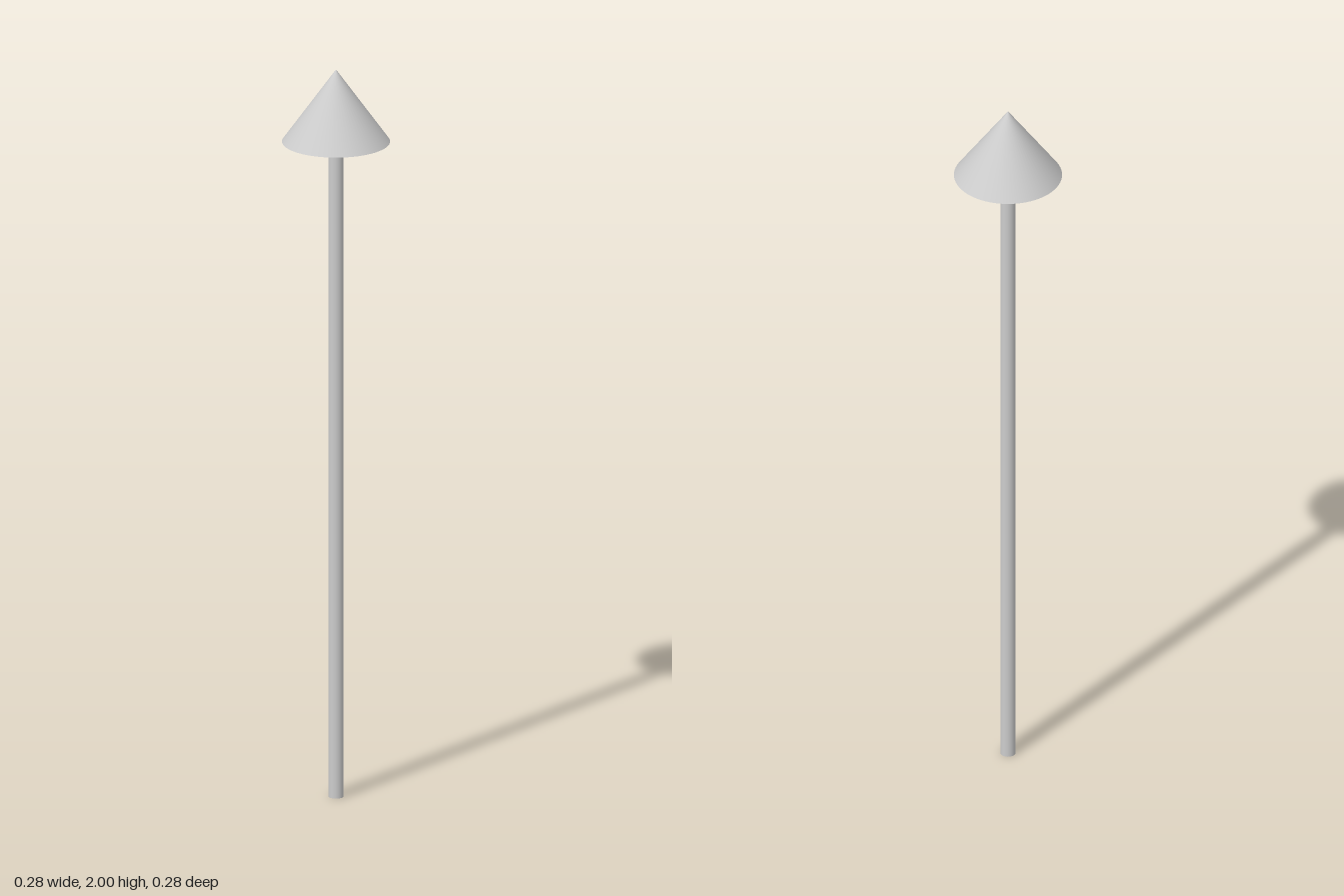
import * as THREE from 'three';

const SHAFT_RADIUS = 0.02;
const HEAD_RADIUS = 0.142;
const HEAD_BASE = 1.802;
const TOP = 2;

export function createModel() {
  const model = new THREE.Group();
  model.name = 'arrow';
  const material = new THREE.MeshStandardMaterial({ color: 0xcccccc });

  const add = (name, geometry, y) => {
    const mesh = new THREE.Mesh(geometry, material);
    mesh.name = name;
    mesh.position.y = y;
    model.add(mesh);
  };

  // Slim round shaft, standing on the ground
  add('shaft', new THREE.CylinderGeometry(SHAFT_RADIUS, SHAFT_RADIUS, HEAD_BASE, 32), HEAD_BASE / 2);

  // Conical head with a closed flat base
  add('arrowHead', new THREE.ConeGeometry(HEAD_RADIUS, TOP - HEAD_BASE, 64), (HEAD_BASE + TOP) / 2);

  return model;
}
